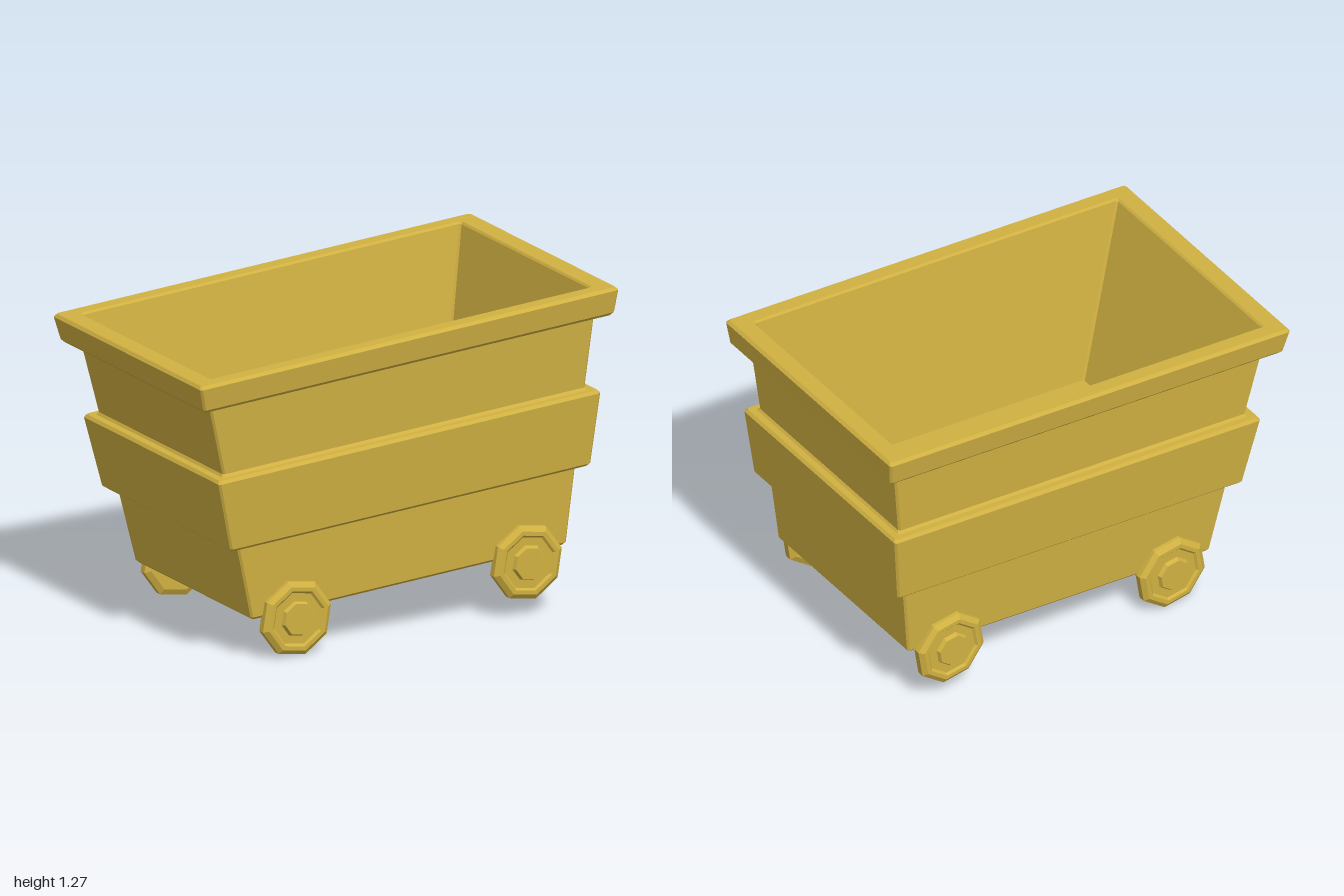
import * as THREE from 'three';

const material = new THREE.MeshStandardMaterial({
  color: 0xd1b142, flatShading: true, side: THREE.DoubleSide,
});

// One rectangular cross-section with slightly chamfered corners
function ring([x, z, y], c = 0.008) {
  return [
    [x - c, z], [x, z - c], [x, -z + c], [x - c, -z],
    [-x + c, -z], [-x, -z + c], [-x, z - c], [-x + c, z],
  ].map(([px, pz]) => [px, y, pz]);
}

// Skin a list of cross-sections and close both ends
function loft(sections) {
  const rings = sections.map((s) => ring(s));
  const n = rings[0].length;
  const index = [];
  for (let i = 0; i < rings.length - 1; i++) {
    for (let j = 0; j < n; j++) {
      const a = i * n + j, b = i * n + (j + 1) % n;
      index.push(a, b, a + n, b, b + n, a + n);
    }
  }
  const last = (rings.length - 1) * n;
  for (let j = 1; j < n - 1; j++) {
    index.push(0, j + 1, j, last, last + j, last + j + 1);
  }
  const geometry = new THREE.BufferGeometry();
  geometry.setAttribute('position', new THREE.Float32BufferAttribute(rings.flat(2), 3));
  geometry.setIndex(index);
  const flat = geometry.toNonIndexed();
  flat.computeVertexNormals();
  return flat;
}

function addMesh(parent, geometry, name) {
  const mesh = new THREE.Mesh(geometry, material);
  mesh.name = name;
  parent.add(mesh);
  return mesh;
}

export function createModel() {
  const model = new THREE.Group();
  model.name = 'cart';

  // The whole cart is turned and its right end is tipped up
  const cart = new THREE.Group();
  cart.name = 'tiltedCart';
  cart.rotation.set(0, -0.195, 0.065);
  cart.position.set(0.064, 0.212, 0.013);
  model.add(cart);

  // Tapered tub: half length, half width, height, from the base up and inside
  const tub = [
    [0.677, 0.429, 0], [0.687, 0.438, 0.01],
    [0.735, 0.453, 0.295], [0.742, 0.46, 0.305],        // lower wall
    [0.773, 0.477, 0.305], [0.785, 0.487, 0.315],       // middle band
    [0.832, 0.511, 0.59], [0.823, 0.502, 0.602],
    [0.796, 0.478, 0.602], [0.789, 0.47, 0.612],        // upper wall
    [0.837, 0.486, 0.885], [0.845, 0.494, 0.895],
    [0.884, 0.531, 0.895], [0.895, 0.542, 0.907],       // rim
    [0.911, 0.556, 0.995], [0.901, 0.546, 1.007],
    [0.832, 0.492, 1.007], [0.825, 0.485, 0.999],       // opening
    [0.65, 0.385, 0.3],                                 // inner floor
  ];
  addMesh(cart, loft(tub), 'tub');

  // Octagonal wheel with bevelled tyre, recessed face and raised hub
  const wheelProfile = [
    [0, -0.027], [0.128, -0.027], [0.152, -0.015], [0.152, 0.013], [0.132, 0.027],
    [0.115, 0.027], [0.106, 0.019], [0.072, 0.019], [0.064, 0.034], [0, 0.034],
  ].map(([r, y]) => new THREE.Vector2(r, y));
  const wheelGeometry = new THREE.LatheGeometry(wheelProfile, 8).rotateX(Math.PI / 2);
  const axleGeometry = new THREE.CylinderGeometry(0.037, 0.037, 0.88, 8).rotateX(Math.PI / 2);

  for (const end of [-1, 1]) {
    const wheelset = new THREE.Group();
    wheelset.name = end < 0 ? 'rightWheelset' : 'leftWheelset';
    wheelset.position.set(end * 0.503, -0.025, 0);
    wheelset.rotation.z = 0.17;
    cart.add(wheelset);
    addMesh(wheelset, axleGeometry, 'axle');
    for (const side of [-1, 1]) {
      const wheel = addMesh(wheelset, wheelGeometry, side > 0 ? 'frontWheel' : 'backWheel');
      wheel.position.z = side * 0.445;
      if (side < 0) wheel.rotation.y = Math.PI;
    }
  }
  return model;
}
